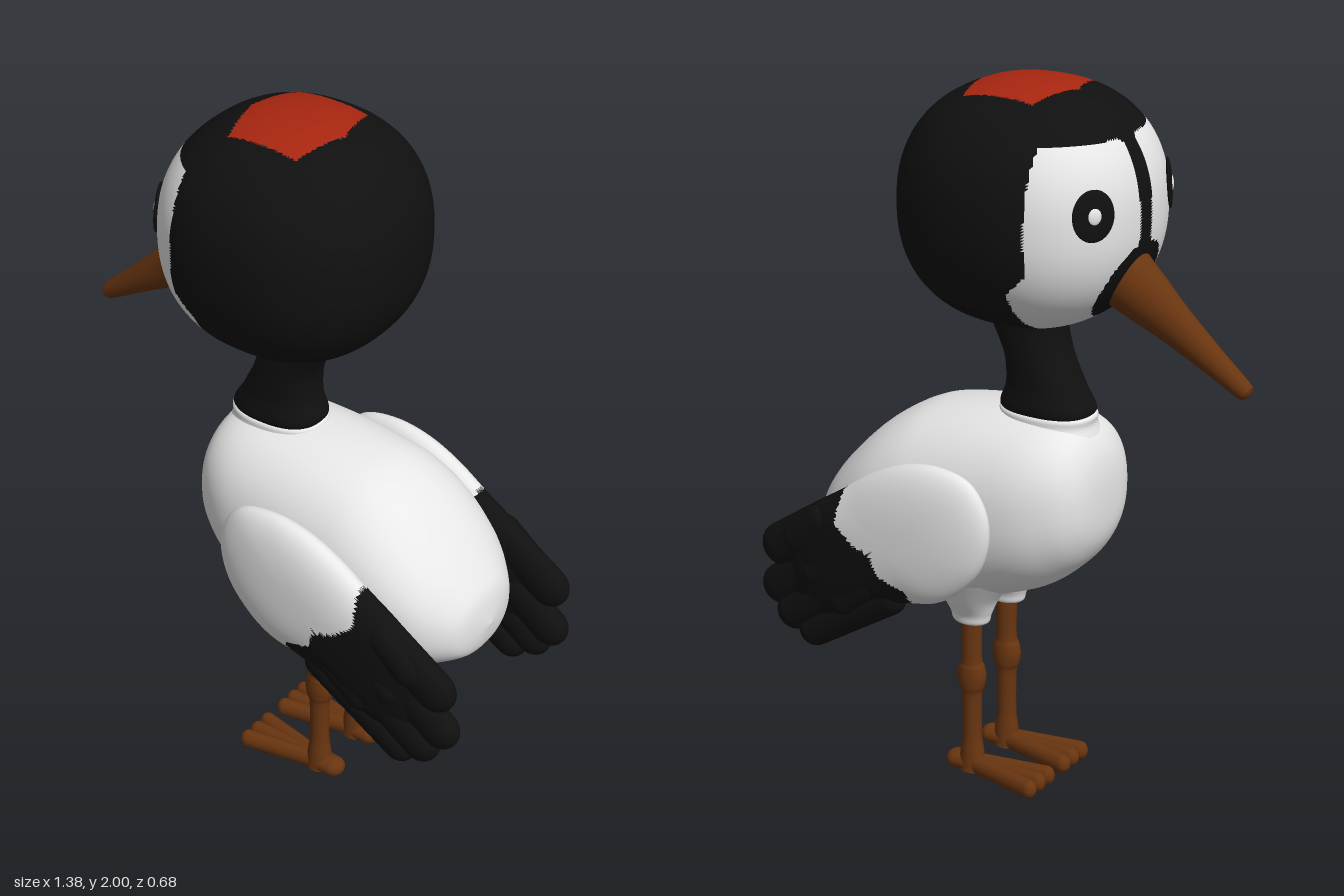
import * as THREE from 'three';

const mat = (name, color) => Object.assign(new THREE.MeshStandardMaterial({ color }), { name });

// Closed-around surface: rows x cols grid, fn(u 0..1, v 0..1) -> [x, y, z]
function grid(rows, cols, fn) {
  const pos = [], idx = [];
  for (let i = 0; i <= rows; i++)
    for (let j = 0; j < cols; j++) pos.push(...fn(i / rows, j / cols));
  for (let i = 0; i < rows; i++)
    for (let j = 0; j < cols; j++) {
      const a = i * cols + j, b = i * cols + (j + 1) % cols;
      idx.push(a, a + cols, b, a + cols, b + cols, b);
    }
  const g = new THREE.BufferGeometry();
  g.setAttribute('position', new THREE.Float32BufferAttribute(pos, 3));
  g.setIndex(idx);
  g.computeVertexNormals();
  return g;
}

const spow = (c, e) => Math.sign(c) * Math.abs(c) ** e;

// Loft along y through rings [y, centreX, radiusX, radiusZ], smoothed between rings
function loft(rings, n = 2, sub = 6, cols = 40) {
  const last = rings.length - 1;
  const at = (t) => {
    const i = Math.min(Math.floor(t), last - 1), f = t - i;
    return rings[0].map((_, k) => {
      const [a, b, c, d] = [i - 1, i, i + 1, i + 2].map(q => rings[Math.max(0, Math.min(last, q))][k]);
      return b + 0.5 * f * (c - a + f * (2 * a - 5 * b + 4 * c - d + f * (3 * (b - c) + d - a)));
    });
  };
  return grid(last * sub, cols, (u, v) => {
    const [y, cx, rx, rz] = at(u * last), a = v * Math.PI * 2;
    return [cx + rx * spow(Math.cos(a), 2 / n), y, rz * spow(Math.sin(a), 2 / n)];
  });
}

// Cushion swelling to +-h in z inside a smooth counter-clockwise outline
function pillow(points, [cx, cy], h) {
  const curve = new THREE.CatmullRomCurve3(points.map(p => new THREE.Vector3(p[0], p[1], 0)), true);
  const ring = curve.getSpacedPoints(120);
  return grid(60, 120, (u, v) => {
    const t = (u - 0.5) * Math.PI, s = spow(Math.cos(t), 0.8), p = ring[Math.round(v * 120)];
    return [cx + (p.x - cx) * s, cy + (p.y - cy) * s, -h * Math.sin(t)];
  });
}

// Sort triangles into material groups by the position of their centre
function paint(geo, count, rule) {
  const p = geo.attributes.position, src = geo.index.array;
  const sets = Array.from({ length: count }, () => []);
  for (let i = 0; i < src.length; i += 3) {
    const t = [src[i], src[i + 1], src[i + 2]];
    const mid = f => (p[f](t[0]) + p[f](t[1]) + p[f](t[2])) / 3;
    sets[rule(mid('getX'), mid('getY'), mid('getZ'))].push(...t);
  }
  geo.setIndex(sets.flat());
  let start = 0;
  sets.forEach((s, k) => { geo.addGroup(start, s.length, k); start += s.length; });
  return geo;
}

// Piecewise linear lookup in [key, value] pairs
function lerpTable(table, k) {
  if (k <= table[0][0]) return table[0][1];
  for (let i = 1; i < table.length; i++) {
    const [a, va] = table[i - 1], [b, vb] = table[i];
    if (k <= b) return va + (vb - va) * (k - a) / (b - a);
  }
  return table[table.length - 1][1];
}

export function createModel() {
  const model = new THREE.Group();
  model.name = 'crane';
  const white = mat('white plumage', 0xe8e8e8), black = mat('black plumage', 0x101010);
  const brown = mat('brown horn', 0x693510), red = mat('red crown', 0xa82610);
  const add = (name, geo, material, parent = model) => {
    const m = new THREE.Mesh(geo, material);
    m.name = name;
    parent.add(m);
    return m;
  };

  // Head: rounded ellipsoid with black hood, white cheeks and red crown
  const C = [-0.024, 1.675, 0], R = [0.341, 0.325, 0.336], N = 2.3;
  const onHead = (d) => {
    const k = d.reduce((s, c) => s + Math.abs(c) ** N, 0) ** (-1 / N);
    return d.map((c, i) => C[i] + R[i] * c * k);
  };
  const headGeo = grid(140, 200, (u, v) => {
    const p = (u - 0.5) * Math.PI, a = v * Math.PI * 2;
    return onHead([Math.cos(p) * Math.cos(a), Math.sin(p), Math.cos(p) * Math.sin(a)]);
  });
  const headRule = (x, y, z) => {
    const az = Math.abs(z);
    if (y > 1.8 && az < 0.153 && x > -0.16 + az * 0.27 && x < 0.127 - az * 0.25) return 2;
    const back = lerpTable([[1.51, -0.13], [1.57, -0.19]], y);
    const stripe = y > 1.7 ? Math.max(0.028, (x + 0.33) * 1.5) : y > 1.45 ? 0.028 : 0;
    const nearBeak = Math.hypot(x + 0.33, y - 1.49, z) < 0.13;
    return x < back && y < 1.885 && az > stripe && !nearBeak ? 1 : 0;
  };
  add('head', paint(headGeo, 3, headRule), [black, white, red]);

  // Eyes: thin domes lying on the head surface
  for (const s of [1, -1]) {
    const d = [-0.87, 0.14, s * 0.555];
    const p = new THREE.Vector3(...onHead(d));
    const n = new THREE.Vector3(...d.map((c, i) => spow(c, N - 1) / R[i])).normalize();
    const dome = (name, r, lift, dy, material) => {
      const m = new THREE.Mesh(new THREE.SphereGeometry(1, 32, 16), material);
      m.name = name;
      m.position.copy(p).addScaledVector(n, lift);
      m.position.y += dy;
      m.scale.set(r * 0.9, r, 0.009);
      m.lookAt(m.position.clone().add(n));
      model.add(m);
    };
    dome('eye', 0.067, 0, 0, black);
    dome('eyeHighlight', 0.024, 0.004, 0, white);
  }

  // Beak: tapered loft pointing forward and down
  const beak = add('beak', loft([
    [-0.03, 0, 0, 0], [-0.03, 0, 0.085, 0.085], [0.1, 0, 0.076, 0.066], [0.2, 0, 0.059, 0.046],
    [0.34, 0, 0.039, 0.034], [0.46, 0, 0.026, 0.024], [0.478, 0, 0.017, 0.017], [0.484, 0, 0, 0],
  ]), brown);
  beak.position.set(-0.275, 1.533, 0);
  beak.rotation.z = Math.atan2(-0.27, -0.395) - Math.PI / 2;

  // Neck and its white base
  add('neck', loft([
    [1.108, -0.075, 0, 0], [1.108, -0.075, 0.128, 0.092], [1.18, -0.066, 0.106, 0.09],
    [1.26, -0.045, 0.088, 0.09], [1.34, -0.018, 0.098, 0.092], [1.42, -0.01, 0.12, 0.1],
  ], 2.4), black);
  add('neckBase', loft([
    [0.92, -0.07, 0.17, 0.18], [1.02, -0.075, 0.155, 0.145], [1.08, -0.075, 0.136, 0.104],
    [1.112, -0.075, 0.126, 0.09], [1.112, -0.075, 0, 0],
  ], 2.3), white);

  // Body: cross-sections [x, top, bottom, half width] from breast to tail
  const body = [
    [-0.26, 0.88, 0.88, 0], [-0.255, 0.96, 0.8, 0.085], [-0.235, 1.03, 0.74, 0.145],
    [-0.19, 1.085, 0.68, 0.195], [-0.1, 1.108, 0.61, 0.236], [0.05, 1.106, 0.555, 0.255],
    [0.2, 1.087, 0.54, 0.262], [0.3, 1.06, 0.54, 0.262], [0.4, 1.0, 0.545, 0.25],
    [0.5, 0.905, 0.56, 0.215], [0.57, 0.82, 0.59, 0.155], [0.6, 0.77, 0.62, 0.1], [0.615, 0.69, 0.69, 0],
  ].map(([x, t, b, w]) => [x, -(t + b) / 2, (t - b) / 2, w]);
  add('body', loft(body, 2.25, 5, 56).rotateZ(-Math.PI / 2), white);

  const outline = [
    [-0.066, 0.83], [-0.04, 0.73], [0.03, 0.645], [0.1, 0.6], [0.2, 0.575], [0.34, 0.53], [0.48, 0.46],
    [0.58, 0.5], [0.6, 0.62], [0.56, 0.75], [0.4, 0.868], [0.3, 0.935], [0.2, 0.978], [0.1, 0.992],
    [0.0, 0.97], [-0.05, 0.91],
  ];
  const border = [[0.58, 0.17], [0.63, 0.18], [0.66, 0.26], [0.72, 0.28], [0.73, 0.33], [0.78, 0.4], [0.88, 0.39]];
  // Feathers: [x0, y0, x1, y1, half width, z offset]
  const feathers = [
    [0.41, 0.79, 0.675, 0.615, 0.062, 0], [0.38, 0.72, 0.683, 0.487, 0.058, -0.008],
    [0.3, 0.66, 0.63, 0.425, 0.055, 0], [0.22, 0.6, 0.56, 0.39, 0.05, -0.004],
    [0.43, 0.79, 0.59, 0.66, 0.05, 0.012], [0.37, 0.71, 0.53, 0.57, 0.05, 0.012],
    [0.28, 0.64, 0.44, 0.51, 0.05, 0.012],
  ];

  for (const s of [1, -1]) {
    const side = s > 0 ? 'left' : 'right';

    // Wing: white cushion with black rear part and feathers
    const wing = new THREE.Group();
    wing.name = side + 'Wing';
    wing.position.z = s * 0.278;
    model.add(wing);
    add('wingCover', paint(pillow(outline, [0.24, 0.76], 0.064), 2,
      (x, y) => (x > lerpTable(border, y) ? 1 : 0)), [white, black], wing);
    for (const [x0, y0, x1, y1, r, dz] of feathers) {
      const len = Math.hypot(x1 - x0, y1 - y0);
      const f = add('feather', new THREE.CapsuleGeometry(r, len - 2 * r, 10, 24), black, wing);
      f.position.set((x0 + x1) / 2, (y0 + y1) / 2, s * dz);
      f.rotation.z = Math.atan2(y1 - y0, x1 - x0) - Math.PI / 2;
      f.scale.z = 0.042 / r;
    }

    // Thigh and leg
    const leg = new THREE.Group();
    leg.name = side + 'Leg';
    leg.position.set(0.12, 0, s * 0.088);
    model.add(leg);
    add('thigh', loft([
      [0.47, 0, 0, 0], [0.47, 0, 0.05, 0.036], [0.5, 0, 0.063, 0.045], [0.55, 0, 0.085, 0.075], [0.62, 0, 0.14, 0.11],
    ]), white, leg);
    add('shank', loft([
      [0.01, 0, 0.04, 0.036], [0.07, 0, 0.034, 0.031], [0.12, 0, 0.028, 0.027], [0.24, 0, 0.029, 0.028],
      [0.27, 0, 0.038, 0.033], [0.3, 0, 0.043, 0.035], [0.33, 0, 0.038, 0.033], [0.36, 0, 0.029, 0.029],
      [0.5, 0, 0.031, 0.03],
    ], 2, 5, 24), brown, leg);

    // Foot: heel and three spread toes
    const toe = (name, x0, x1, z1, r) => {
      const len = Math.hypot(x1 - x0, z1);
      const t = add(name, new THREE.CapsuleGeometry(r, len, 8, 20).rotateZ(Math.PI / 2), brown, leg);
      t.position.set((x0 + x1) / 2, 0.028, z1 / 2);
      t.rotation.y = Math.atan2(z1, x0 - x1);
      t.scale.y = 0.028 / r;
    };
    toe('heel', 0, 0.048, 0, 0.034);
    for (const z of [-0.047, 0, 0.047]) toe('toe', 0.02, -0.218, z, 0.023);
  }
  return model;
}
